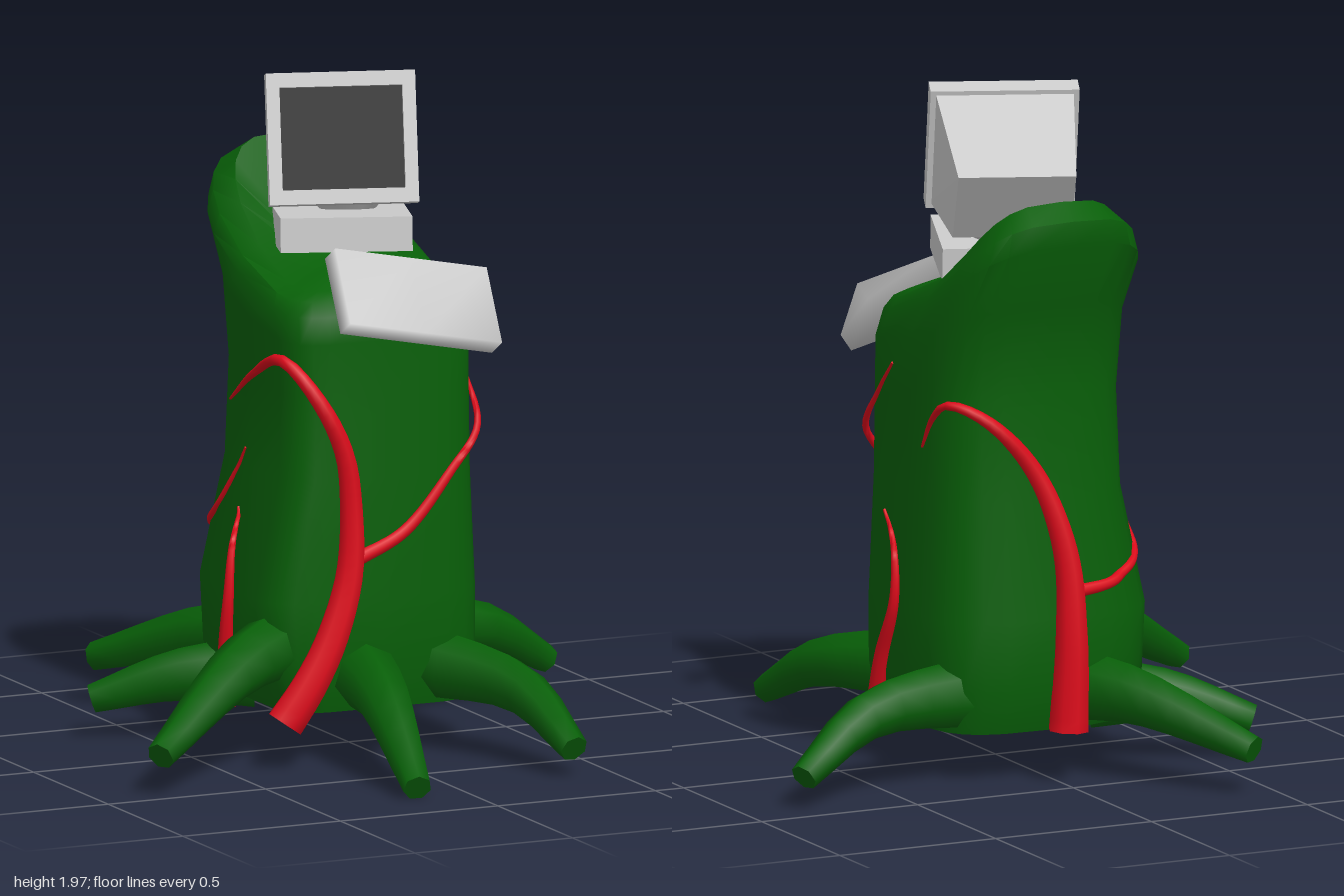
import * as THREE from 'three';
import { mergeVertices, toCreasedNormals } from 'three/addons/utils/BufferGeometryUtils.js';

const mat = (color) => new THREE.MeshStandardMaterial({ color });
const V = (p) => new THREE.Vector3(...p);
const lerp = THREE.MathUtils.lerp;

// Trunk cross-sections: front height, back height, min x, max x, back z, front z
const RINGS = [
  [0.12, 0.12, 0, 0, -0.05, -0.05],
  [0.17, 0.17, -0.29, 0.31, -0.36, 0.23],
  [0.3, 0.3, -0.35, 0.33, -0.4, 0.26],
  [0.5, 0.5, -0.365, 0.33, -0.39, 0.26],
  [0.85, 0.85, -0.29, 0.31, -0.37, 0.26],
  [1.1, 1.15, -0.28, 0.31, -0.36, 0.25],
  [1.25, 1.42, -0.29, 0.31, -0.385, 0.25],
  [1.33, 1.62, -0.29, 0.29, -0.505, 0.25],
  [1.37, 1.69, -0.27, 0.27, -0.5, 0.22],
  [1.39, 1.735, -0.22, 0.23, -0.43, 0.17],
  [1.43, 1.55, -0.12, 0.12, -0.21, 0.1],
  [1.455, 1.455, 0, 0, -0.05, -0.05],
];
// The front corners are squarer than the back ones
const power = (side) => (side >= 0 ? 5.5 : 3.5);

function trunkGeometry(sides = 24) {
  const pos = [], index = [];
  const squash = (v, n) => Math.sign(v) * Math.abs(v) ** (2 / n);
  RINGS.forEach(([yF, yB, x0, x1, z0, z1], i) => {
    for (let j = 0; j < sides; j++) {
      const a = (j / sides) * Math.PI * 2;
      const n = power(Math.sin(a));
      const sz = squash(Math.sin(a), n);
      const t = (1 - sz) / 2;
      pos.push((x0 + x1) / 2 + squash(Math.cos(a), n) * (x1 - x0) / 2,
        yF + (yB - yF) * t * t, (z0 + z1) / 2 + sz * (z1 - z0) / 2);
      if (i === RINGS.length - 1) continue;
      const k = (j + 1) % sides, p = i * sides, q = p + sides;
      index.push(p + j, q + j, p + k, p + k, q + j, q + k);
    }
  });
  const g = new THREE.BufferGeometry();
  g.setAttribute('position', new THREE.Float32BufferAttribute(pos, 3));
  g.setIndex(index);
  return toCreasedNormals(g, 0.75);
}

// Moves a point out to the bark if it lies inside the trunk
function pushOut(p) {
  let i = 1;
  while (i < 6 && RINGS[i + 1][0] < p.y) i++;
  const t = THREE.MathUtils.clamp((p.y - RINGS[i][0]) / (RINGS[i + 1][0] - RINGS[i][0]), 0, 1);
  const [, , x0, x1, z0, z1] = RINGS[i].map((v, n) => lerp(v, RINGS[i + 1][n], t));
  const cx = (x0 + x1) / 2, cz = (z0 + z1) / 2, n = power(p.z - cz);
  const k = (Math.abs((p.x - cx) / ((x1 - x0) / 2)) ** n
    + Math.abs((p.z - cz) / ((z1 - z0) / 2)) ** n) ** (1 / n);
  if (k < 1) { p.x = cx + (p.x - cx) / k; p.z = cz + (p.z - cz) / k; }
  return p;
}

// Tube that narrows from r0 to r1, with flat closed ends
function taperedTube(curve, r0, r1, n, sides, crease) {
  const g = new THREE.TubeGeometry(curve, n, 1, sides);
  const pos = g.attributes.position, v = new THREE.Vector3();
  for (let i = 0; i <= n; i++) {
    const from = curve.getPointAt(i / n);
    const u = THREE.MathUtils.clamp((i - 1) / (n - 2), 0, 1);
    const to = curve.getPointAt(u);
    const r = i === 0 || i === n ? 0 : lerp(r0, r1, u);
    for (let j = 0; j <= sides; j++) {
      const id = i * (sides + 1) + j;
      v.fromBufferAttribute(pos, id).sub(from).multiplyScalar(r).add(to);
      pos.setXYZ(id, v.x, v.y, v.z);
    }
  }
  return toCreasedNormals(g, crease);
}

const ROOTS = [
  [[-0.12, 0.28, -0.3], [-0.22, 0.27, -0.5], [-0.42, 0.16, -0.82]],
  [[-0.22, 0.22, -0.17], [-0.42, 0.21, -0.26], [-0.64, 0.14, -0.37]],
  [[-0.24, 0.37, 0.1], [-0.46, 0.33, 0.24], [-0.82, 0.145, 0.47]],
  [[-0.05, 0.28, 0.16], [-0.1, 0.24, 0.45], [-0.17, 0.06, 0.82]],
  [[0.17, 0.28, 0.15], [0.33, 0.24, 0.45], [0.37, 0.11, 0.73]],
  [[0.2, 0.28, -0.24], [0.56, 0.26, -0.31], [0.82, 0.12, -0.41]],
];

// Vines: thick end radius, thin end radius, path
const VINES = [
  [0.057, 0.004, [[-0.335, 0.16, 0.28], [-0.26, 0.27, 0.29], [-0.19, 0.4, 0.29], [-0.13, 0.58, 0.28],
    [-0.12, 0.78, 0.27], [-0.14, 0.93, 0.27], [-0.21, 1.08, 0.26], [-0.29, 1.2, 0.18],
    [-0.29, 1.13, -0.02], [-0.28, 1.02, -0.2]]],
  [0.022, 0.004, [[-0.11, 0.62, 0.28], [0.05, 0.69, 0.27], [0.2, 0.85, 0.26], [0.3, 0.97, 0.23],
    [0.31, 1.1, 0.13], [0.31, 1.2, 0.04]]],
  [0.06, 0.004, [[-0.02, 0.18, -0.43], [-0.03, 0.45, -0.43], [-0.02, 0.7, -0.41], [0.06, 0.93, -0.38],
    [0.2, 1.09, -0.36], [0.3, 1.14, -0.3], [0.31, 1.09, -0.22], [0.31, 0.99, -0.15]]],
  [0.02, 0.004, [[-0.04, 0.58, -0.42], [-0.2, 0.6, -0.38], [-0.3, 0.69, -0.23], [-0.28, 0.9, -0.08]]],
  [0.03, 0.005, [[-0.37, 0.16, -0.04], [-0.39, 0.35, 0], [-0.39, 0.5, 0.02], [-0.37, 0.63, 0], [-0.31, 0.73, -0.07]]],
  [0.028, 0.005, [[0.33, 0.18, 0.11], [0.34, 0.34, 0.05], [0.34, 0.52, -0.03], [0.33, 0.66, -0.01], [0.31, 0.76, 0.08]]],
];

function add(parent, name, geometry, material, p = [0, 0, 0]) {
  const m = new THREE.Mesh(geometry, material);
  m.name = name;
  m.position.set(...p);
  parent.add(m);
  return m;
}

function buildMonitor(grey, black) {
  const g = new THREE.Group();
  g.name = 'monitor';
  // Bezel frame, its origin at the centre of the front face
  const rect = (T, w, h) => new T([[-w, -h], [w, -h], [w, h], [-w, h]].map(([x, y]) => new THREE.Vector2(x, y)));
  const frame = rect(THREE.Shape, 0.215, 0.19);
  frame.holes.push(rect(THREE.Path, 0.177, 0.148));
  add(g, 'bezel', new THREE.ExtrudeGeometry(frame, { depth: 0.06, bevelEnabled: false }), grey, [0, 0, -0.06]);
  add(g, 'screen', new THREE.PlaneGeometry(0.36, 0.3), black, [0, 0, -0.02]);
  // Housing narrows to the back, its back face slanting
  const body = new THREE.BoxGeometry(0.4, 0.36, 0.4).toNonIndexed();
  const pos = body.attributes.position;
  for (let i = 0; i < pos.count; i++) {
    if (pos.getZ(i) > 0) continue;
    const y = pos.getY(i);
    pos.setXYZ(i, pos.getX(i) * 0.85, y * 0.66 - 0.005, y < 0 ? -0.12 : -0.2);
  }
  body.computeVertexNormals();
  add(g, 'housing', body, grey, [0, 0, -0.24]);
  g.position.set(-0.052, 1.815, 0.07);
  g.rotation.set(-0.28, -0.36, 0.01, 'YXZ');
  return g;
}

export function createModel() {
  const model = new THREE.Group();
  const green = mat(0x085f08), red = mat(0xdb0a1a), grey = mat(0xcccccc), black = mat(0x0a0a0a);

  add(model, 'trunk', trunkGeometry(), green);
  for (const path of ROOTS) {
    const curve = new THREE.CatmullRomCurve3(path.map(V));
    add(model, 'root', taperedTube(curve, 0.105, 0.042, 9, 7, 0.95), green);
  }
  for (const [r0, r1, path] of VINES) {
    const points = new THREE.CatmullRomCurve3(path.map(V)).getPoints(24).map(pushOut);
    add(model, 'vine', taperedTube(new THREE.CatmullRomCurve3(points), r0, r1, 40, 8, 1), red);
  }

  // Monitor on its swivel and base unit
  model.add(buildMonitor(grey, black));
  add(model, 'swivel', new THREE.CylinderGeometry(0.14, 0.08, 0.06, 16), grey, [0.03, 1.605, -0.07])
    .rotation.set(-0.15, -0.36, 0, 'YXZ');
  add(model, 'baseUnit', new THREE.BoxGeometry(0.38, 0.1, 0.34), grey, [0, 1.525, -0.045])
    .rotation.set(-0.08, -0.36, 0, 'YXZ');

  // Tilted panel with softly shaded edges
  const panel = new THREE.BoxGeometry(0.51, 0.25, 0.06, 2, 1, 1);
  panel.deleteAttribute('normal').deleteAttribute('uv');
  const softPanel = mergeVertices(panel);
  softPanel.computeVertexNormals();
  add(model, 'panel', softPanel, grey, [0.095, 1.355, 0.235]).rotation.set(-0.7, 0.07, -0.21, 'YZX');

  return model;
}
